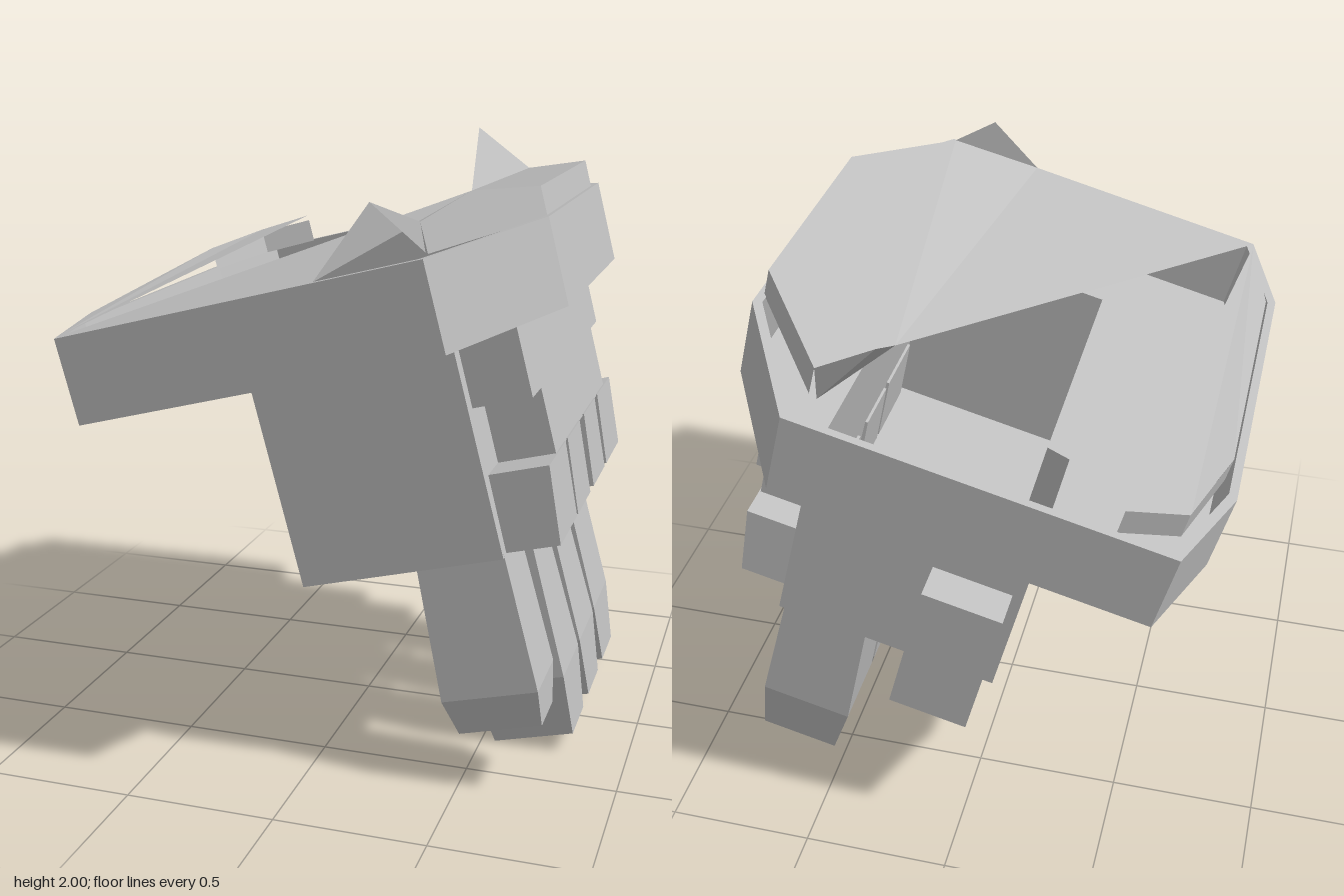
import * as THREE from 'three';

const grey = new THREE.MeshStandardMaterial({ color: 0xc0c0c0, side: THREE.DoubleSide, flatShading: true });
grey.name = 'armour grey';

function add(group, name, geometry) {
  const mesh = new THREE.Mesh(geometry, grey);
  mesh.name = name;
  group.add(mesh);
  return mesh;
}

// Outline points are [x, z]; the result stands between heights y0 and y1.
function prism(outline, y0, y1, hole) {
  const pts = (list) => list.map(([x, z]) => new THREE.Vector2(x, -z));
  const shape = new THREE.Shape(pts(outline));
  if (hole) shape.holes.push(new THREE.Path(pts(hole)));
  const geo = new THREE.ExtrudeGeometry(shape, { depth: y1 - y0, bevelEnabled: false });
  return geo.rotateX(-Math.PI / 2).translate(0, y0, 0);
}

function box(x0, x1, y0, y1, z0, z1) {
  return new THREE.BoxGeometry(x1 - x0, y1 - y0, z1 - z0)
    .translate((x0 + x1) / 2, (y0 + y1) / 2, (z0 + z1) / 2);
}

// Triangle fan over a loop of points, first point is the hub.
function fan(points) {
  const tri = [];
  for (let i = 1; i < points.length - 1; i++) tri.push(...points[0], ...points[i], ...points[i + 1]);
  const geo = new THREE.BufferGeometry();
  geo.setAttribute('position', new THREE.Float32BufferAttribute(tri, 3));
  geo.computeVertexNormals();
  return geo;
}

// Upright strip along a path of [x, z] points.
function strip(path, y0, y1) {
  const pos = [];
  for (let i = 0; i < path.length - 1; i++) {
    const [a, b] = [path[i], path[i + 1]];
    pos.push(a[0], y0, a[1], b[0], y0, b[1], b[0], y1, b[1]);
    pos.push(a[0], y0, a[1], b[0], y1, b[1], a[0], y1, a[1]);
  }
  const geo = new THREE.BufferGeometry();
  geo.setAttribute('position', new THREE.Float32BufferAttribute(pos, 3));
  geo.computeVertexNormals();
  return geo;
}

// Rectangular cross-sections [y, x0, x1, z0, z1] from top to bottom.
function loft(rows) {
  const pos = [], index = [];
  for (const [y, x0, x1, z0, z1] of rows) pos.push(x0, y, z0, x0, y, z1, x1, y, z1, x1, y, z0);
  for (let r = 0; r < rows.length - 1; r++) {
    for (let i = 0; i < 4; i++) {
      const a = r * 4 + i, b = r * 4 + (i + 1) % 4;
      index.push(a, a + 4, b, b, a + 4, b + 4);
    }
  }
  const e = (rows.length - 1) * 4;
  index.push(0, 1, 2, 0, 2, 3, e, e + 2, e + 1, e, e + 3, e + 2);
  const geo = new THREE.BufferGeometry();
  geo.setAttribute('position', new THREE.Float32BufferAttribute(pos, 3));
  geo.setIndex(index);
  const flat = geo.toNonIndexed();
  flat.computeVertexNormals();
  return flat;
}

export function createModel() {
  const model = new THREE.Group();
  model.name = 'gauntlet';
  const hand = new THREE.Group();
  hand.name = 'tiltedHand';
  hand.rotation.z = 0.2549;
  model.add(hand);

  // Cuff: eight-sided wall with a floor that opens into the palm
  const rim = [[1.152, 0.46], [1.152, -0.46], [0.884, -0.93], [-0.315, -0.93],
    [-0.438, -0.58], [-0.438, 0.58], [-0.315, 0.93], [0.884, 0.93]];
  const inner = rim.map(([x, z]) => [0.357 + (x - 0.357) * 0.965, z * 0.97]);
  const palm = [[0.06, -0.7], [0.82, -0.7], [0.82, 0.635], [0.14, 0.635], [0.14, -0.31], [0.06, -0.33]];
  const hollow = [[0.07, -0.69], [0.81, -0.69], [0.81, 0.625], [0.15, 0.625], [0.15, -0.32], [0.07, -0.34]];
  add(hand, 'cuffWall', prism(rim, 1.333, 1.61, inner));
  add(hand, 'cuffFloor', prism(rim.map(([x, z]) => [0.357 + (x - 0.357) * 0.99, z * 0.99]), 1.334, 1.35, hollow));

  // Torn cover over the front and right of the opening, rising to a spike
  add(hand, 'cuffCover', fan([
    [0.68, 1.68, -0.52], [-0.315, 1.612, 0.93], [0.55, 1.612, 0.93], [0.85, 1.7, 0.76],
    [1.135, 1.7, 0.4], [1.135, 1.7, -0.4], [0.85, 1.7, -0.78], [0.678, 1.891, -0.85]]));
  add(hand, 'frontFold', fan([[0.735, 1.79, 0.82], [0.55, 1.612, 0.93], [0.85, 1.7, 0.76]]));
  add(hand, 'frontFoldSide', fan([[0.735, 1.79, 0.82], [0.85, 1.7, 0.76], [0.85, 1.612, 0.78]]));
  add(hand, 'spikeSide', fan([[0.678, 1.891, -0.85], [0.85, 1.7, -0.78], [0.82, 1.612, -0.8], [0.68, 1.68, -0.52]]));
  add(hand, 'rightLip', strip([[0.85, 0.76], [1.135, 0.4], [1.135, -0.4], [0.85, -0.78]], 1.605, 1.7));

  // Narrow cover and lip along the left
  add(hand, 'leftCover', fan([[-0.315, 1.612, 0.92], [-0.12, 1.71, -0.9], [-0.3, 1.7, -0.82],
    [-0.39, 1.69, -0.5], [-0.4, 1.63, 0.53]]));
  add(hand, 'leftLip', strip([[-0.12, -0.9], [-0.3, -0.82], [-0.39, -0.5]], 1.605, 1.69));

  // Palm: hollow block, stepped beside the thumb
  add(hand, 'palmWalls', prism(palm, 0.63, 1.335, hollow));
  add(hand, 'palmBase', prism(palm, 0.625, 0.64));

  // Plate on the back of the hand, with notched sides
  add(hand, 'wristPlate', box(0.815, 1.012, 1.1, 1.335, -0.595, 0.585));
  add(hand, 'backPlate', box(0.815, 1.01, 0.88, 1.11, -0.48, 0.45));

  // Knuckles
  for (const [z0, z1] of [[0.3, 0.59], [0.04, 0.28], [-0.27, -0.03], [-0.6, -0.31]]) {
    add(hand, 'knuckle', loft([
      [0.885, 0.8, 1.015, z0 + 0.01, z1 - 0.005], [0.63, 0.79, 0.995, z0, z1]]));
  }

  // Fingers: top, middle and tip widths, with the tip height
  const fingers = [
    [[0.39, 0.62], [0.385, 0.64], [0.43, 0.61], 0.053, 0.18],
    [[0.06, 0.28], [0.03, 0.31], [0.07, 0.28], -0.135, 0.085],
    [[-0.25, -0.02], [-0.285, -0.005], [-0.25, -0.04], -0.135, 0.085],
    [[-0.6, -0.335], [-0.6, -0.315], [-0.57, -0.355], -0.135, 0.085],
  ];
  for (const [top, mid, tip, tipY, midY] of fingers) {
    add(hand, 'finger', loft([[0.64, 0.53, 0.82, ...top],
      [midY, 0.508, 0.83, ...mid], [tipY, 0.53, 0.808, ...tip]]));
  }

  // Thumb
  add(hand, 'thumb', box(0.095, 0.364, 0.523, 1.04, -0.832, -0.59));
  return model;
}
